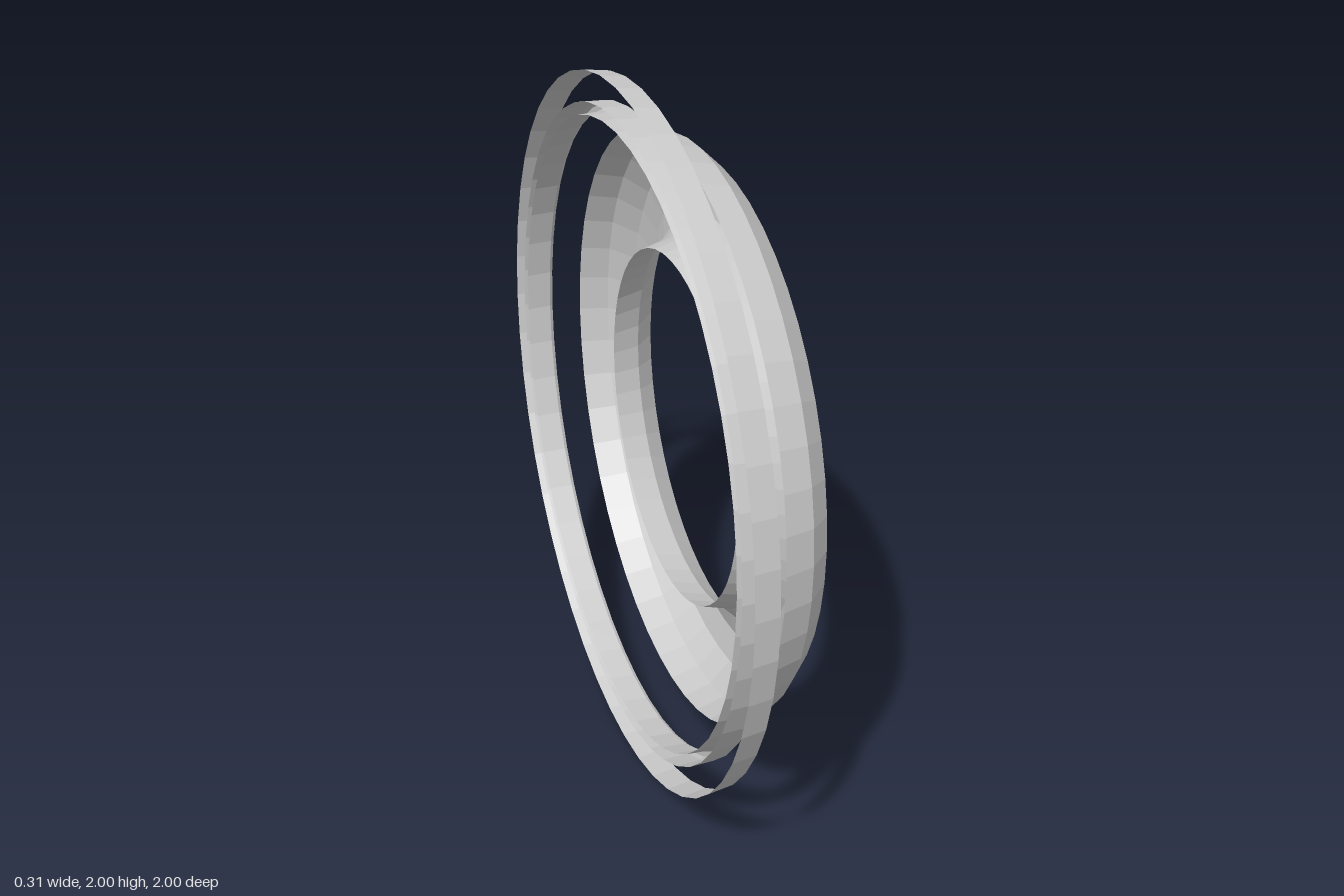
import * as THREE from 'three';

const SEGMENTS = 48;

export function createModel() {
  const group = new THREE.Group();
  group.name = 'ringSet';
  const grey = new THREE.MeshStandardMaterial({ color: 0xcccccc, flatShading: true, side: THREE.DoubleSide });
  grey.name = 'light grey';

  // Revolves an open profile of [x, radius] points about the x axis, centred at y = 1
  function ring(name, profile) {
    const points = profile.map(([x, r]) => new THREE.Vector2(r, x));
    const geometry = new THREE.LatheGeometry(points, SEGMENTS);
    geometry.rotateZ(-Math.PI / 2);
    const mesh = new THREE.Mesh(geometry, grey);
    mesh.name = name;
    mesh.position.y = 1;
    group.add(mesh);
  }

  // Thin, slightly tapered outer band
  ring('outerBand', [[-0.09, 0.99], [-0.16, 1.0]]);

  // Narrow channel ring, open at the back
  ring('middleRing', [
    [-0.08, 0.89], [-0.09, 0.883], [-0.16, 0.88],
  ].reverse().concat([[-0.08, 0.905], [-0.09, 0.912], [-0.16, 0.915]]));

  // Half torus, open at the back
  const dome = [];
  for (let i = 0; i <= 6; i++) {
    const a = Math.PI - (i * Math.PI) / 6;
    dome.push([-0.01 + 0.165 * Math.sin(a), 0.665 + 0.165 * Math.cos(a)]);
  }
  ring('innerHalfTorus', dome);

  return group;
}
